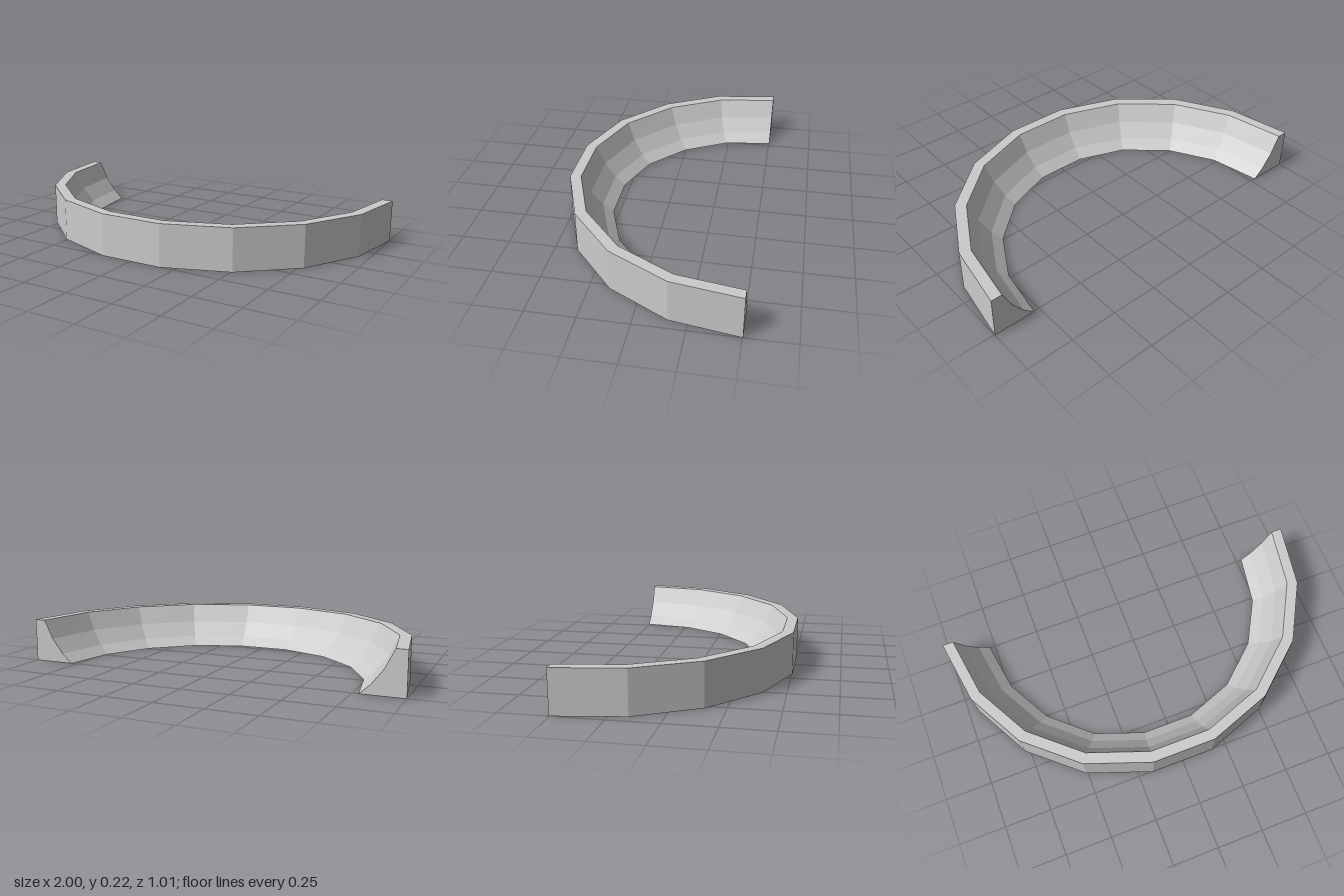
import * as THREE from 'three';

// Half of the plan curve (x, z): outer wall and inner foot, from the middle to the end
const OUTER = [[0.171, 0.504], [0.508, 0.383], [0.776, 0.15], [0.945, -0.158], [1, -0.504]];
const INNER = [[0.137, 0.283], [0.394, 0.19], [0.604, 0.003], [0.735, -0.233], [0.78, -0.504]];

// Cross-section (share of the way from outer to inner, height), with a concave inner side
const SECTION = [[0, 0], [0, 0.222], [0.26, 0.222], [0.48, 0.125], [0.75, 0.048], [1, 0]];

// Mirror a half curve into a full one running from -x to +x
const mirrored = (half) => [...half.map(([x, z]) => [-x, z]).reverse(), ...half];

function bandGeometry() {
  const outer = mirrored(OUTER);
  const inner = mirrored(INNER);
  const rings = outer.map(([ox, oz], i) => SECTION.map(([t, y]) => [
    THREE.MathUtils.lerp(ox, inner[i][0], t),
    y,
    THREE.MathUtils.lerp(oz, inner[i][1], t),
  ]));
  const positions = [];
  const tri = (a, b, c) => positions.push(...a, ...b, ...c);
  const n = SECTION.length;

  // Skin between neighbouring cross-sections
  for (let i = 0; i < rings.length - 1; i++) {
    for (let k = 0; k < n; k++) {
      const m = (k + 1) % n;
      const a = rings[i][k], b = rings[i + 1][k], c = rings[i + 1][m], d = rings[i][m];
      tri(a, b, c);
      tri(a, c, d);
    }
  }

  // Flat end caps, fanned from the outer bottom corner
  const first = rings[0], last = rings[rings.length - 1];
  for (let k = 1; k < n - 1; k++) {
    tri(first[0], first[k], first[k + 1]);
    tri(last[0], last[k + 1], last[k]);
  }

  const geometry = new THREE.BufferGeometry();
  geometry.setAttribute('position', new THREE.Float32BufferAttribute(positions, 3));
  geometry.computeVertexNormals();
  return geometry;
}

export function createModel() {
  const group = new THREE.Group();
  group.name = 'curvedRim';
  const material = new THREE.MeshStandardMaterial({ color: 0xcccccc, flatShading: true });
  const band = new THREE.Mesh(bandGeometry(), material);
  band.name = 'curvedBand';
  group.add(band);
  return group;
}
